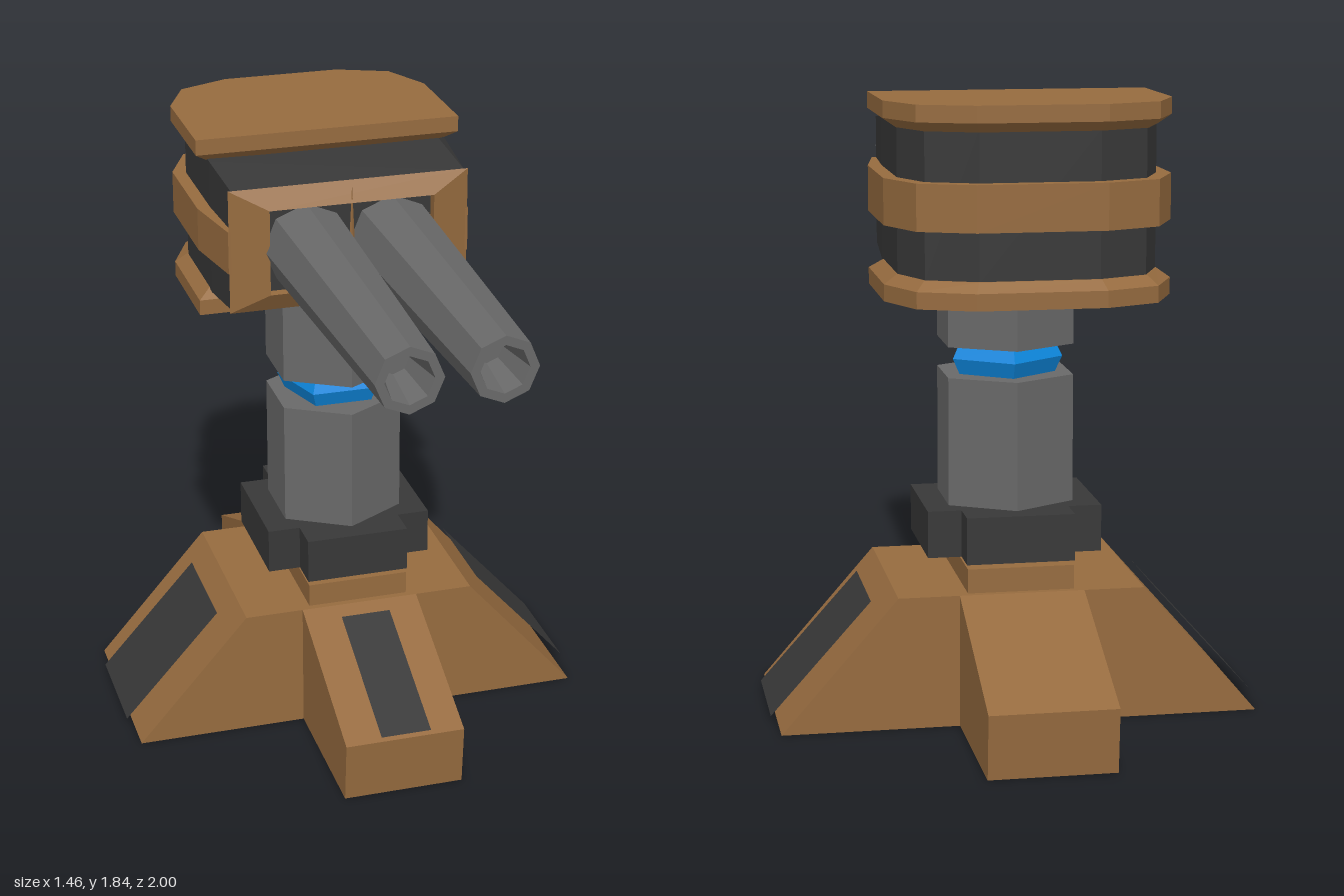
import * as THREE from 'three';

const mat = (name, color) => Object.assign(new THREE.MeshStandardMaterial({ color, flatShading: true }), { name });

// Join rings of points (counter-clockwise as seen from the way they advance), with optional flat caps
function loft(rings, caps = true) {
  const pos = [];
  const tri = (...pts) => pts.forEach((p) => pos.push(...p));
  const n = rings[0].length;
  for (let i = 0; i < rings.length - 1; i++) {
    const a = rings[i], b = rings[i + 1];
    for (let j = 0; j < n; j++) {
      const k = (j + 1) % n;
      tri(a[j], a[k], b[k]);
      tri(a[j], b[k], b[j]);
    }
  }
  if (caps) {
    const a = rings[0], b = rings[rings.length - 1];
    for (let j = 1; j < n - 1; j++) {
      tri(a[0], a[j + 1], a[j]);
      tri(b[0], b[j], b[j + 1]);
    }
  }
  const g = new THREE.BufferGeometry();
  g.setAttribute('position', new THREE.Float32BufferAttribute(pos, 3));
  g.computeVertexNormals();
  return g;
}

// Mirrored head outline from its +x side, listed front to back as [x, z, y shift]
const outline = (half, y, sign = 1) => [...half, ...half.map(([x, z, d]) => [-x, z, d]).reverse()]
  .map(([x, z, d = 0]) => [x, y + sign * d, z]);

export function createModel() {
  const brown = mat('bronzeBrown', 0x966b3f);
  const grey = mat('steelGrey', 0x696969);
  const dark = mat('charcoal', 0x383838);
  const blue = mat('glowBlue', 0x0e8ae2);
  const model = new THREE.Group();
  const CZ = -0.207; // pillar axis
  const CY = 1.56; // barrel height

  const add = (name, geo, material, x = 0, y = 0, z = 0, parent = model) => {
    const m = new THREE.Mesh(geo, material);
    m.name = name;
    m.position.set(x, y, z);
    parent.add(m);
    return m;
  };
  const box = (name, material, w, d, y0, y1) =>
    add(name, new THREE.BoxGeometry(w, y1 - y0, d), material, 0, (y0 + y1) / 2, CZ);
  const prism = (name, material, rTop, rBottom, y0, y1, sides, start = 0) =>
    add(name, new THREE.CylinderGeometry(rTop, rBottom, y1 - y0, sides, 1, false, start), material, 0, (y0 + y1) / 2, CZ);
  const slab = (pts, depth) => {
    const shape = new THREE.Shape(pts.map(([x, y]) => new THREE.Vector2(x, y)));
    return new THREE.ExtrudeGeometry(shape, { depth, bevelEnabled: false }).translate(0, 0, -depth / 2);
  };

  // Cross-shaped foot
  add('sideFeet', slab([[-0.71, 0], [0.71, 0], [0.365, 0.395], [-0.365, 0.395]], 0.6), brown, 0, 0, CZ);
  add('frontAndBackFeet', slab([[-0.775, 0], [0.775, 0], [0.79, 0.19], [0.3, 0.395], [-0.3, 0.395], [-0.79, 0.19]], 0.37)
    .rotateY(Math.PI / 2), brown, 0, 0, CZ);

  // Dark panels lying just above the slopes
  for (const side of [1, -1]) {
    const holder = new THREE.Group();
    holder.name = side > 0 ? 'leftFootPanel' : 'rightFootPanel';
    holder.position.z = CZ;
    holder.rotation.y = side > 0 ? 0 : Math.PI;
    model.add(holder);
    const g = new THREE.PlaneGeometry(0.35, 0.45).rotateY(Math.PI / 2).rotateZ(0.73);
    add('panel', g, dark, 0.58, 0.1875, 0, holder);
  }
  add('frontFootPanel', new THREE.PlaneGeometry(0.155, 0.466).rotateX(-1.174), dark, 0, 0.3, 0.375);

  // Collars and pillar
  box('baseCollar', brown, 0.315, 0.56, 0.39, 0.467);
  box('pillarCollarLong', dark, 0.32, 0.56, 0.48, 0.62);
  box('pillarCollarWide', dark, 0.52, 0.36, 0.48, 0.62);
  prism('lowerPillar', grey, 0.216, 0.216, 0.6, 1.003, 6);
  prism('upperPillar', grey, 0.216, 0.216, 1.095, 1.42, 6);
  prism('ringLower', blue, 0.173, 0.15, 1.0, 1.05, 5, Math.PI);
  prism('ringUpper', blue, 0.15, 0.173, 1.05, 1.097, 5, Math.PI);

  // Dark head body, slightly narrowing to the front
  const bodyHalf = [[0.357, -0.02, -0.022], [0.37, -0.245], [0.37, -0.57], [0.312, -0.705], [0.17, -0.765]];
  add('headBody', loft([outline(bodyHalf, CY - 0.21, -1), outline(bodyHalf, CY + 0.21)]), dark);

  // Brown band around the middle
  const wide = [[0.41, -0.243], [0.41, -0.585], [0.34, -0.74], [0.183, -0.805]];
  const bandHalf = [[0.37, -0.02], ...wide];
  add('headBand', loft([outline(bandHalf, CY - 0.066), outline(bandHalf, CY + 0.066)]), brown);

  // Top and bottom plates, each with a bevel towards the body
  const inset = [[0.372, -0.275], [0.372, -0.575], [0.314, -0.71], [0.172, -0.772]];
  add('topPlate', loft([outline(inset, CY + 0.205), outline(wide, CY + 0.232), outline(wide, CY + 0.28)]), brown);
  add('bottomPlate', loft([outline(wide, CY - 0.28), outline(wide, CY - 0.232), outline(inset, CY - 0.205)]), brown);

  // Bevelled front frame with an open recess
  const rect = (w, h, z) => [[-w, CY - h, z], [w, CY - h, z], [w, CY + h, z], [-w, CY + h, z]];
  add('frontFrame', loft([rect(0.368, 0.192, -0.022), rect(0.252, 0.132, 0.015), rect(0.252, 0.132, -0.03)], false), brown);
  add('frameDivider', new THREE.ConeGeometry(0.016, 0.34, 4), brown, 0, CY + 0.02, 0.008);

  // Twin eight-sided barrels with hollow muzzles
  const profile = [[0.133, -0.05], [0.097, 1], [0.07, 1], [0.045, 0.85], [0, 0.85]].map(([r, z]) => new THREE.Vector2(r, z));
  const barrel = new THREE.LatheGeometry(profile, 8).rotateX(Math.PI / 2);
  add('leftBarrel', barrel, grey, 0.132, CY, 0);
  add('rightBarrel', barrel, grey, -0.132, CY, 0);

  return model;
}
